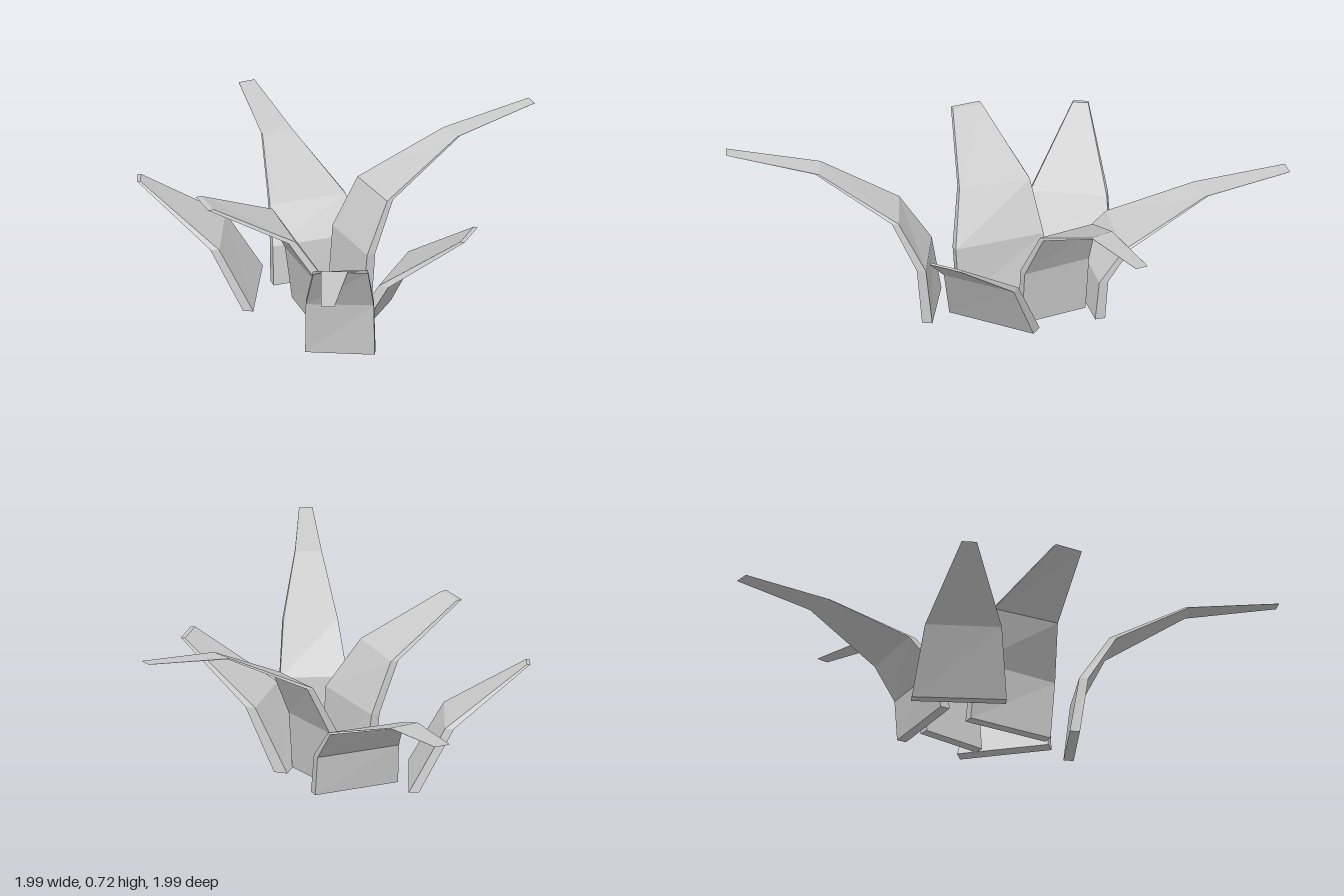
import * as THREE from 'three';

const material = new THREE.MeshStandardMaterial({ color: 0xcccccc, flatShading: true });

// Each section: [height, x0, z0, x1, z1, thickness], where the two points are
// the inner edge of the leaf and the thickness is added outwards.
const leaves = {
  backLongLeaf: [
    [0, -0.07, -0.24, 0.285, -0.06, 0.045],
    [0.18, -0.055, -0.26, 0.29, -0.08, 0.04],
    [0.32, 0.03, -0.36, 0.33, -0.19, 0.03],
    [0.46, 0.28, -0.65, 0.41, -0.6, 0.015],
    [0.5, 0.487, -0.995, 0.555, -0.965, 0.006],
  ],
  leftLongLeaf: [
    [0, 0.14, -0.11, 0.05, 0.185, 0.045],
    [0.26, 0.165, -0.11, 0.075, 0.19, 0.04],
    [0.48, 0.27, -0.06, 0.2, 0.19, 0.03],
    [0.67, 0.605, 0.138, 0.585, 0.243, 0.015],
    [0.72, 0.985, 0.28, 0.97, 0.335, 0.006],
  ],
  frontLongLeaf: [
    [0, -0.175, 0.485, -0.37, 0.25, 0.045],
    [0.26, -0.2, 0.5, -0.4, 0.28, 0.04],
    [0.48, -0.305, 0.565, -0.48, 0.4, 0.03],
    [0.67, -0.62, 0.75, -0.7, 0.665, 0.015],
    [0.72, -0.95, 0.99, -0.993, 0.95, 0.006],
  ],
  rightTallLeaf: [
    [0, -0.22, 0.28, -0.05, -0.09, 0.045],
    [0.26, -0.245, 0.28, -0.09, -0.1, 0.04],
    [0.48, -0.345, 0.165, -0.2, -0.12, 0.035],
    [0.67, -0.63, -0.06, -0.58, -0.185, 0.025],
  ],
  frontShortLeaf: [
    [0, 0.17, 0.165, -0.215, 0.31, 0.06],
    [0.28, 0.2, 0.32, -0.115, 0.445, 0.045],
    [0.53, 0.235, 0.685, 0.095, 0.74, 0.018],
  ],
  backShortLeaf: [
    [0, -0.3, -0.14, 0.026, -0.4, 0.045],
    [0.28, -0.37, -0.28, -0.11, -0.495, 0.04],
    [0.53, -0.49, -0.645, -0.44, -0.69, 0.015],
  ],
};

// Lofts a closed, four-sided solid through the sections
function leafGeometry(sections) {
  const positions = [];
  const index = [];
  for (const [y, x0, z0, x1, z1, t] of sections) {
    const out = new THREE.Vector2(z1 - z0, x0 - x1).setLength(t);
    positions.push(x0, y, z0, x1, y, z1, x1 + out.x, y, z1 + out.y, x0 + out.x, y, z0 + out.y);
  }
  const quad = (a, b, c, d) => index.push(a, b, c, a, c, d);
  for (let s = 0; s < sections.length - 1; s++) {
    for (let i = 0; i < 4; i++) {
      const a = s * 4 + i;
      const b = s * 4 + ((i + 1) % 4);
      quad(a, b, b + 4, a + 4);
    }
  }
  const top = (sections.length - 1) * 4;
  quad(3, 2, 1, 0);
  quad(top, top + 1, top + 2, top + 3);

  const geometry = new THREE.BufferGeometry();
  geometry.setAttribute('position', new THREE.Float32BufferAttribute(positions, 3));
  geometry.setIndex(index);
  const flat = geometry.toNonIndexed();
  flat.computeVertexNormals();
  return flat;
}

export function createModel() {
  const plant = new THREE.Group();
  plant.name = 'plant';
  for (const [name, sections] of Object.entries(leaves)) {
    const leaf = new THREE.Mesh(leafGeometry(sections), material);
    leaf.name = name;
    plant.add(leaf);
  }
  return plant;
}
